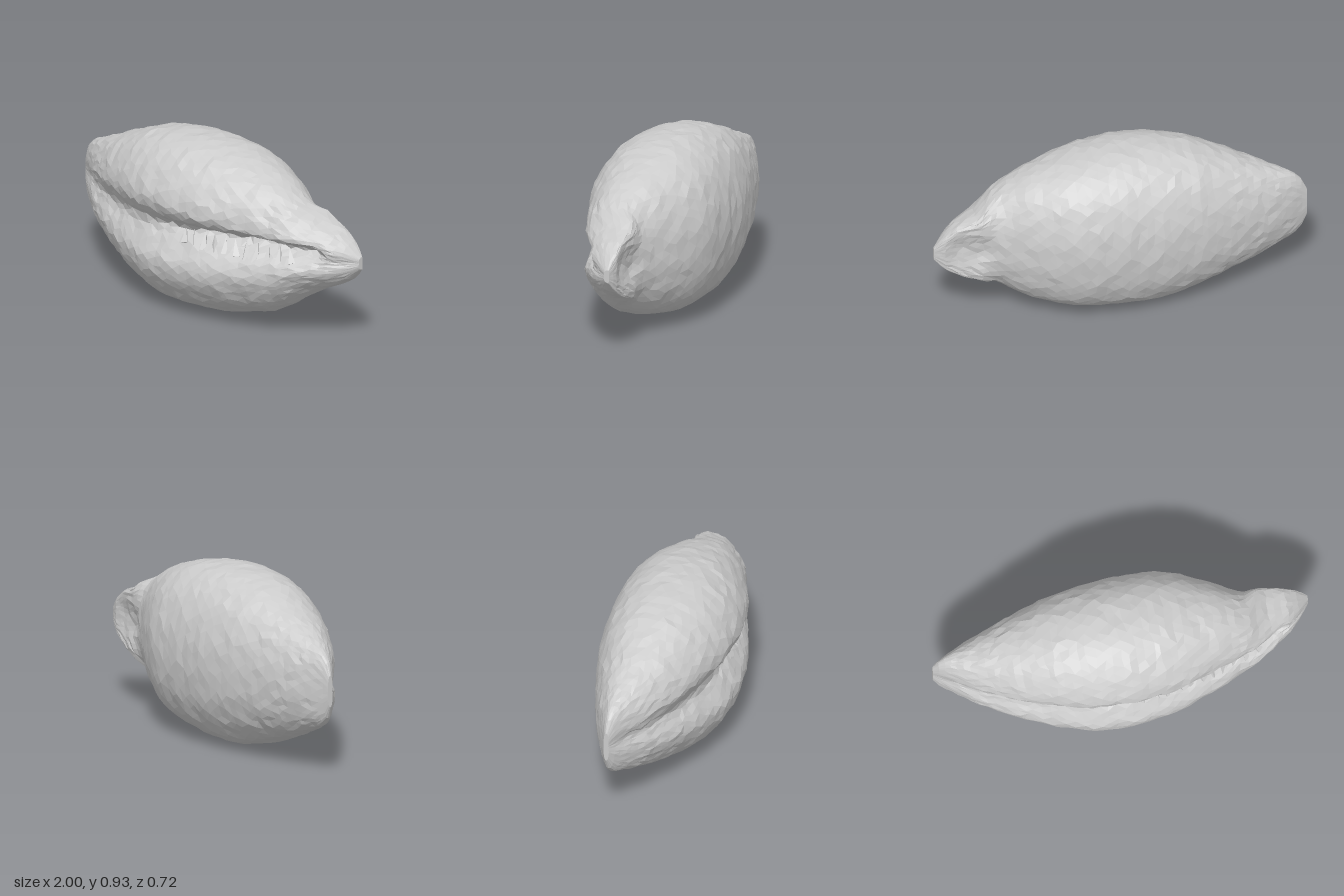
import * as THREE from 'three';

// Shell stations along x: [x, top y, bottom y, front z, back z]
const STATIONS = [
  [-1, 0.55, 0.38, -0.04, -0.07],
  [-0.975, 0.61, 0.32, -0.02, -0.08],
  [-0.93, 0.655, 0.27, 0.01, -0.105],
  [-0.8, 0.71, 0.21, 0.105, -0.17],
  [-0.6, 0.8, 0.13, 0.215, -0.245],
  [-0.4, 0.885, 0.055, 0.295, -0.305],
  [-0.2, 0.925, 0.008, 0.35, -0.345],
  [0, 0.935, 0.003, 0.36, -0.36],
  [0.2, 0.915, 0.025, 0.335, -0.36],
  [0.32, 0.885, 0.05, 0.3, -0.335],
  [0.5, 0.825, 0.1, 0.235, -0.25],
  [0.6, 0.77, 0.16, 0.195, -0.195],
  [0.68, 0.72, 0.22, 0.17, -0.165],
  [0.77, 0.66, 0.275, 0.12, -0.155],
  [0.88, 0.615, 0.325, 0.05, -0.145],
  [0.95, 0.56, 0.37, -0.02, -0.13],
  [1, 0.5, 0.43, -0.08, -0.11],
];

function stationAt(x) {
  let i = 0;
  while (i < STATIONS.length - 2 && x > STATIONS[i + 1][0]) i++;
  const a = STATIONS[i], b = STATIONS[i + 1];
  const t = (x - a[0]) / (b[0] - a[0]);
  return a.map((v, k) => v + (b[k] - v) * t);
}

function seeded(seed) {
  return () => {
    seed = (seed * 16807) % 2147483647;
    return seed / 2147483647 - 0.5;
  };
}

const bump = (d, w) => Math.exp(-((d / w) ** 2));
const step = THREE.MathUtils.smoothstep;

// Surface point at x and angle a (0 = front, PI/2 = top)
function shellPoint(x, a) {
  const [, top, bottom, front, back] = stationAt(x);
  const yc = (top + bottom) / 2, h = (top - bottom) / 2;
  const beak = step(x, 0.64, 0.76);
  // the beak is widest near its flat back
  const zc = (front + back) / 2 - ((front - back) / 2) * 0.65 * beak;
  const c = Math.cos(a), s = Math.sin(a);
  const y = yc + h * Math.sign(s) * Math.abs(s) ** 0.93;
  if (c > 0) {
    // broad furrow between the two lips, then the narrow mouth slit
    const d = front - zc;
    let z = zc + d * 1.08 * c ** 0.9;
    z -= (front - back) * 0.145 * bump(y - 0.47, 0.23 * h + 0.005);
    const open = step(x, -0.35, 0.45) * (1 - step(x, 0.76, 0.9));
    z -= 0.11 * open * bump(y - 0.505, 0.036);
    return [x, y, z];
  }
  // rounded back, with a shallow hollow in the beak
  const power = THREE.MathUtils.lerp(s < 0 ? 0.82 : 0.88, 0.5, beak);
  let z = zc - (zc - back) * Math.abs(c) ** power;
  z += 0.035 * beak * (1 - step(x, 0.86, 0.96)) * bump(y - yc, 0.1);
  return [x, y, z];
}

function shellGeometry(rows, cols) {
  const rnd = seeded(4711);
  const pos = [], idx = [];
  for (let i = 0; i <= rows; i++) {
    const u = (i / rows) * 2 - 1;
    // rows crowd slightly toward the ends
    const x0 = u * 0.75 + Math.sin((u * Math.PI) / 2) * 0.25;
    const inner = i > 0 && i < rows ? 1 - 0.75 * step(Math.abs(x0), 0.8, 1) : 0;
    for (let j = 0; j < cols; j++) {
      // columns crowd toward the mouth
      const t = ((j + (i % 2) * 0.5) / cols) * 2 - 1;
      const a = Math.sign(t) * Math.PI * Math.abs(t) ** 1.3;
      const x = x0 + rnd() * 0.02 * inner;
      const p = shellPoint(x, a + rnd() * 0.04 * inner);
      const size = 0.009 * inner;
      pos.push(p[0], Math.max(0, p[1] + rnd() * size), p[2] + rnd() * size);
    }
  }
  for (let i = 0; i < rows; i++) {
    for (let j = 0; j < cols; j++) {
      const k = (j + 1) % cols;
      const a = i * cols + j, b = i * cols + k, c = a + cols, d = b + cols;
      if (i % 2) idx.push(a, c, d, a, d, b);
      else idx.push(a, c, b, b, c, d);
    }
  }
  // end caps
  const n = pos.length / 3, last = rows * cols;
  pos.push(-1, 0.465, -0.055, 1, 0.465, -0.095);
  for (let j = 0; j < cols; j++) {
    const k = (j + 1) % cols;
    idx.push(n, j, k, n + 1, last + k, last + j);
  }
  const g = new THREE.BufferGeometry();
  g.setAttribute('position', new THREE.Float32BufferAttribute(pos, 3));
  g.setIndex(idx);
  g.computeVertexNormals();
  return g;
}

export function createModel() {
  const group = new THREE.Group();
  group.name = 'seashell';
  const material = new THREE.MeshStandardMaterial({ color: 0xcccccc, flatShading: true });

  const shell = new THREE.Mesh(shellGeometry(52, 48), material);
  shell.name = 'shell';
  group.add(shell);

  // Small ridged teeth along the lower lip of the mouth
  const teeth = new THREE.Group();
  teeth.name = 'teeth';
  const rnd = seeded(99);
  for (let i = 0; i < 11; i++) {
    const x = 0.06 + i * 0.062;
    // seated on the shell surface just below the slit
    const [, y, z] = shellPoint(x, -0.03);
    const tooth = new THREE.Mesh(new THREE.ConeGeometry(0.026, 0.1 + rnd() * 0.03, 4), material);
    tooth.name = 'tooth';
    tooth.position.set(x, y + 0.012, z - 0.012);
    tooth.rotation.set(-0.3, rnd(), 0.25 + rnd() * 0.5);
    teeth.add(tooth);
  }
  group.add(teeth);
  return group;
}
